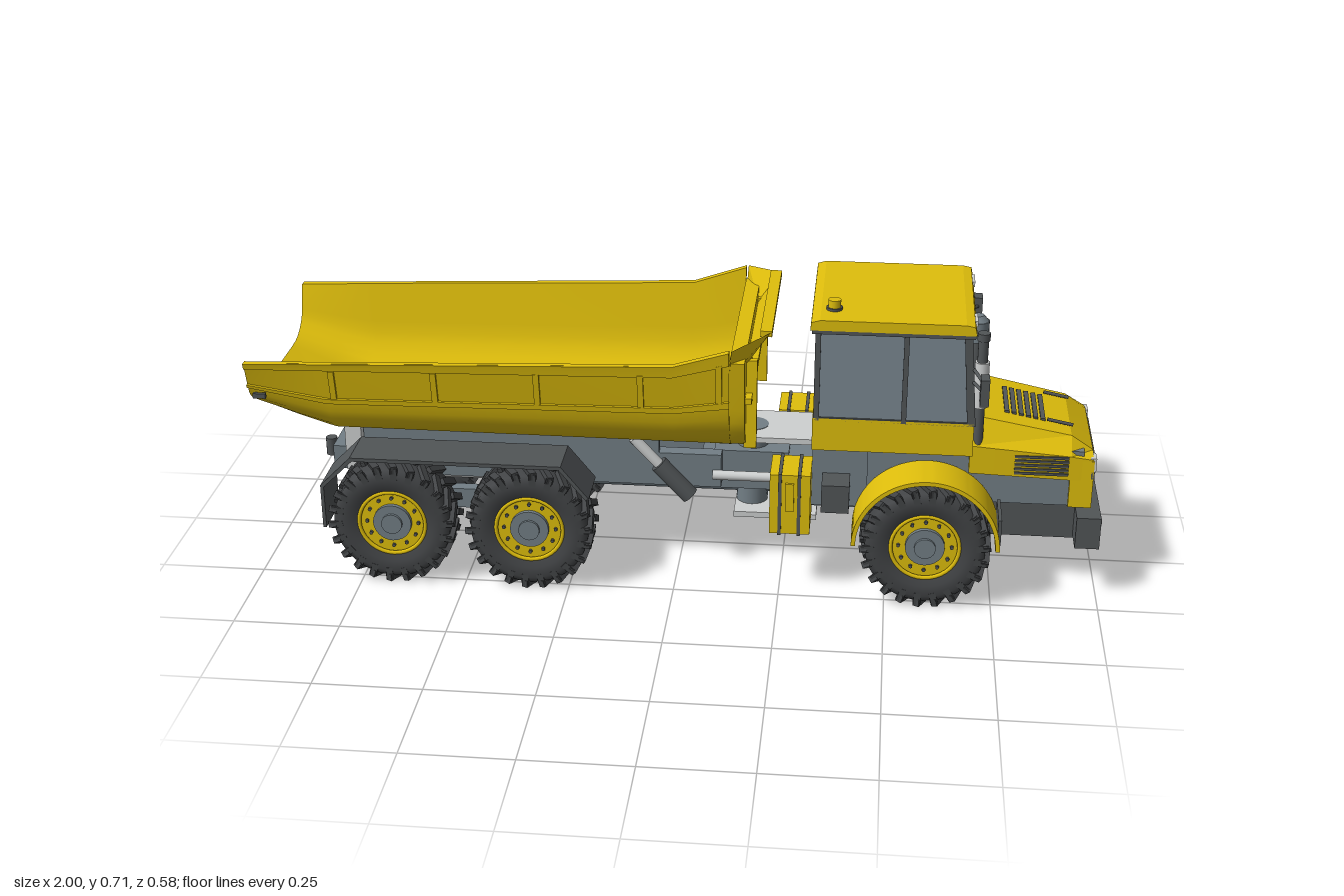
import * as THREE from 'three';
import { mergeGeometries, toCreasedNormals } from 'three/addons/utils/BufferGeometryUtils.js';

const paint = (name, color, side = THREE.FrontSide) => {
  const m = new THREE.MeshStandardMaterial({ color, side });
  m.name = name;
  return m;
};

export function createModel() {
  const truck = new THREE.Group();
  truck.name = 'articulatedDumpTruck';
  const yellow = paint('yellow', 0xdfbe0c, THREE.DoubleSide);
  const dark = paint('darkGrey', 0x515557);
  const rubber = paint('rubber', 0x424446);
  const steel = paint('steel', 0x737f86);
  const glass = paint('glass', 0x7b8891);
  const light = paint('lightGrey', 0xcfd1d1);
  const sides = [1, -1];

  const add = (name, geo, mat, parent = truck) => {
    const m = new THREE.Mesh(geo, mat);
    m.name = name;
    parent.add(m);
    return m;
  };
  const box = (name, mat, x0, x1, y0, y1, z0, z1) => {
    const m = add(name, new THREE.BoxGeometry(x1 - x0, y1 - y0, Math.abs(z1 - z0)), mat);
    m.position.set((x0 + x1) / 2, (y0 + y1) / 2, (z0 + z1) / 2);
    return m;
  };
  // Round bar between two points
  const rod = (name, mat, a, b, r, r2 = r, seg = 14) => {
    const A = new THREE.Vector3(...a), B = new THREE.Vector3(...b);
    const m = add(name, new THREE.CylinderGeometry(r2, r, A.distanceTo(B), seg), mat);
    m.position.copy(A).add(B).multiplyScalar(0.5);
    m.quaternion.setFromUnitVectors(new THREE.Vector3(0, 1, 0), B.sub(A).normalize());
    return m;
  };
  // Side profile (x, y) extruded from z0 to z1
  const prism = (name, mat, pts, z0, z1) => {
    const shape = new THREE.Shape(pts.map(p => new THREE.Vector2(...p)));
    const m = add(name, new THREE.ExtrudeGeometry(shape, { depth: Math.abs(z1 - z0), bevelEnabled: false }), mat);
    m.position.z = Math.min(z0, z1);
    return m;
  };
  // Closed (z, y) rings joined along x, with capped ends
  const loft = (name, mat, stations, crease = 0.5) => {
    const n = stations[0].ring.length, pos = [], idx = [];
    const rings = stations.map(s => s.ring.map(p => new THREE.Vector2(...p)));
    if (THREE.ShapeUtils.area(rings[0]) < 0) rings.forEach(r => r.reverse());
    rings.forEach((r, k) => r.forEach(p => pos.push(stations[k].x, p.y, p.x)));
    for (let k = 0; k < rings.length - 1; k++) for (let i = 0; i < n; i++) {
      const a = k * n + i, b = k * n + (i + 1) % n;
      idx.push(a, a + n, b + n, a, b + n, b);
    }
    const end = (rings.length - 1) * n;
    THREE.ShapeUtils.triangulateShape(rings[0], []).forEach(([a, b, c]) => idx.push(a, b, c));
    THREE.ShapeUtils.triangulateShape(rings.at(-1), []).forEach(([a, b, c]) => idx.push(end + a, end + c, end + b));
    const g = new THREE.BufferGeometry();
    g.setAttribute('position', new THREE.Float32BufferAttribute(pos, 3));
    g.setIndex(idx);
    return add(name, toCreasedNormals(g, crease), mat);
  };
  const mirrorRing = half => [...half, ...half.slice().reverse().map(([z, y]) => [-z, y])];

  // Dump body: curved trough, rising at the tail
  const form = [[1, 1], [0.925, 0.5], [0.9, 0.36], [0.86, 0.25], [0.79, 0.14], [0.71, 0.06], [0.62, 0.015], [0.5, 0]];
  const half = (w, top, bot) => form.map(([f, t]) => [f * w, bot + t * (top - bot)]);
  const body = [[-1, 0.265, 0.55, 0.42], [-0.9, 0.267, 0.554, 0.382], [-0.81, 0.269, 0.558, 0.352],
    [0, 0.275, 0.588, 0.35], [0.13, 0.282, 0.63, 0.35]];
  loft('dumpBody', yellow, body.map(([x, w, top, bot]) => {
    const inner = half(w - 0.012, top, bot + 0.012);
    return { x, ring: [...mirrorRing(half(w, top, bot)), ...mirrorRing(inner).reverse()] };
  }));
  loft('bodyFrontWall', yellow, [0.13, 0.165].map(x => ({ x, ring: mirrorRing(half(0.275, 0.6, 0.35)) })));
  const at = x => {
    const i = Math.max(1, body.findIndex(b => b[0] >= x)), a = body[i - 1], b = body[i];
    return a.map((v, k) => THREE.MathUtils.lerp(v, b[k], (x - a[0]) / (b[0] - a[0])));
  };
  for (const s of sides) {
    // Rim, lower rail and ribs on the body flank
    const strip = (name, xs, t0, t1, out) => loft(name, yellow, xs.map(x => {
      const [, w, top, bot] = at(x);
      const p = t => [s * w * (0.85 + 0.15 * t), bot + t * (top - bot)];
      const [a, b] = [p(t0), p(t1)];
      return { x, ring: [a, [a[0] + s * out, a[1]], [b[0] + s * out, b[1]], b] };
    }));
    strip('bodyRim', [-1, 0, 0.13], 0.88, 1, 0.006);
    strip('bodyRail', [-1, -0.81, 0, 0.13], 0.48, 0.54, 0.008);
    for (const x of [-0.8, -0.56, -0.32, -0.08, 0.1]) strip('bodyRib', [x, x + 0.014], 0.5, 0.9, 0.007);
    box('bodyMark', dark, -0.985, -0.955, 0.46, 0.472, s * 0.252, s * 0.261);
    box('frontWallRib', yellow, 0.16, 0.19, 0.36, 0.58, s * 0.19, s * 0.205);
  }
  box('frontWallBeam', yellow, 0.16, 0.18, 0.485, 0.5, -0.24, 0.24);

  // Spill guard leaning forward over the front wall
  const lower = [[0.13, 0.56, 0.268], [0.165, 0.57, 0.2], [0.165, 0.57, -0.2], [0.13, 0.56, -0.268]];
  const upper = [[0.135, 0.632, 0.282], [0.218, 0.648, 0.2], [0.218, 0.648, -0.2], [0.135, 0.632, -0.282]];
  const guard = new THREE.BufferGeometry();
  guard.setAttribute('position', new THREE.Float32BufferAttribute([...lower, ...upper].flat(), 3));
  guard.setIndex([0, 1, 2].flatMap(i => [i, i + 1, i + 5, i, i + 5, i + 4]));
  add('spillGuard', toCreasedNormals(guard, 0.2), yellow);
  box('spillGuardLip', yellow, 0.195, 0.222, 0.638, 0.652, -0.2, 0.2);

  // Wheels: shared tyre, lugs, rim and bolts
  const axisZ = g => g.rotateX(Math.PI / 2);
  const profile = [[0.08, -0.045], [0.1, -0.054], [0.125, -0.056], [0.14, -0.048], [0.143, 0],
    [0.14, 0.048], [0.125, 0.056], [0.1, 0.054], [0.08, 0.045]].map(p => new THREE.Vector2(...p));
  const tyre = axisZ(new THREE.LatheGeometry(profile, 40));
  const lugs = [], bolts = [];
  for (let i = 0; i < 22; i++) for (const s of sides) {
    const turn = (i + (s > 0 ? 0 : 0.5)) * Math.PI / 11;
    lugs.push(new THREE.BoxGeometry(0.016, 0.018, 0.062).rotateX(0).rotateY(0)
      .applyMatrix4(new THREE.Matrix4().makeRotationY(s * 0.5)).rotateZ(Math.PI / 2).rotateZ(-Math.PI / 2)
      .translate(0, 0.143, s * 0.028).rotateZ(turn));
    lugs.push(new THREE.BoxGeometry(0.016, 0.03, 0.006).translate(0.012, 0.132, s * 0.053).rotateZ(turn));
  }
  for (let i = 0; i < 12; i++) bolts.push(axisZ(new THREE.CylinderGeometry(0.0045, 0.0045, 0.088, 6))
    .translate(0.062, 0, 0).rotateZ(i * Math.PI / 6));
  const lugGeo = mergeGeometries(lugs), boltGeo = mergeGeometries(bolts);
  const disc = axisZ(new THREE.CylinderGeometry(0.083, 0.083, 0.075, 32));
  const lip = new THREE.TorusGeometry(0.08, 0.005, 8, 36);
  const hub = axisZ(new THREE.CylinderGeometry(0.046, 0.046, 0.096, 24));
  const cap = axisZ(new THREE.CylinderGeometry(0.025, 0.025, 0.11, 20));
  for (const x of [-0.67, -0.34, 0.59]) {
    for (const s of sides) {
      const wheel = new THREE.Group();
      wheel.name = 'wheel';
      wheel.position.set(x, 0.153, s * 0.222);
      truck.add(wheel);
      add('tyre', tyre, rubber, wheel);
      add('tread', lugGeo, rubber, wheel);
      add('rim', disc, yellow, wheel);
      for (const k of sides) add('rimLip', lip, yellow, wheel).position.z = k * 0.045;
      add('bolts', boltGeo, dark, wheel);
      add('hub', hub, steel, wheel);
      add('hubCap', cap, steel, wheel);
      rod('axleEnd', steel, [x, 0.153, s * 0.09], [x, 0.153, s * 0.18], 0.03, 0.045);
    }
    rod('axle', steel, [x, 0.153, -0.17], [x, 0.153, 0.17], 0.028);
    add('differential', new THREE.SphereGeometry(0.056, 20, 14), steel).position.set(x, 0.153, 0);
  }
  rod('rearDriveShaft', light, [-0.62, 0.165, 0], [-0.39, 0.165, 0], 0.015);
  rod('middleDriveShaft', steel, [-0.29, 0.165, 0], [0.54, 0.165, 0], 0.016);

  // Rear frame, tail and articulation joint
  for (const s of sides) {
    box('rearFrameRail', steel, -0.8, 0.1, 0.2, 0.285, s * 0.06, s * 0.095);
    box('bodySupport', steel, -0.8, -0.05, 0.285, 0.352, s * 0.075, s * 0.095);
    box('tiltHinge', light, -0.81, -0.77, 0.22, 0.35, s * 0.1, s * 0.125);
    box('bogieBeam', steel, -0.62, -0.39, 0.14, 0.19, s * 0.115, s * 0.145);
    rod('tiltCylinder', dark, [0.03, 0.2, s * 0.145], [-0.045, 0.28, s * 0.145], 0.022);
    rod('tiltRod', light, [-0.045, 0.28, s * 0.145], [-0.105, 0.345, s * 0.145], 0.013);
    rod('steeringCylinder', light, [0.08, 0.235, s * 0.1], [0.24, 0.235, s * 0.1], 0.012);
    // Rear mudguard with hanging flap
    prism('rearMudguard', dark, [[-0.835, 0.14], [-0.835, 0.25], [-0.76, 0.325], [-0.26, 0.325], [-0.195, 0.245],
      [-0.203, 0.241], [-0.265, 0.316], [-0.755, 0.316], [-0.827, 0.246], [-0.827, 0.14]], s * 0.16, s * 0.28);
    // Side tank with straps
    box('sideTank', yellow, 0.225, 0.32, 0.158, 0.31, s * 0.13, s * 0.24);
    for (const x of [0.245, 0.29]) box('tankStrap', dark, x, x + 0.008, 0.155, 0.313, s * 0.128, s * 0.243);
    box('tankPanel', yellow, 0.262, 0.282, 0.22, 0.29, s * 0.235, s * 0.247);
  }
  for (const x of [-0.8, -0.5, -0.15, 0.05]) box('frameCrossMember', steel, x, x + 0.05, 0.2, 0.27, -0.09, 0.09);
  box('towBlock', steel, -0.86, -0.8, 0.19, 0.25, -0.06, 0.06);
  rod('towHook', dark, [-0.88, 0.2, 0], [-0.88, 0.245, 0], 0.014);
  box('jointYoke', steel, 0.08, 0.26, 0.18, 0.28, -0.055, 0.055);
  rod('jointPin', steel, [0.17, 0.13, 0], [0.17, 0.33, 0], 0.038, 0.038, 20);
  for (const y of [0.115, 0.315]) box('jointPlate', light, 0.13, 0.33, y, y + 0.014, -0.08, 0.08);

  // Front chassis
  box('frontChassis', steel, 0.32, 0.45, 0.2, 0.36, -0.165, 0.165);
  box('frontFrame', steel, 0.26, 0.95, 0.16, 0.27, -0.09, 0.09);
  box('engineBay', steel, 0.44, 0.95, 0.22, 0.36, -0.15, 0.15);
  box('bellyPlate', dark, 0.74, 0.95, 0.125, 0.22, -0.13, 0.13);
  box('batteryBox', dark, 0.345, 0.41, 0.215, 0.285, 0.16, 0.235);

  // Front fenders: half rings over the wheels
  for (const s of sides) {
    const sweep = s > 0 ? Math.PI : Math.PI * 0.66, arc = new THREE.Shape();
    arc.absarc(0, 0, 0.172, 0, sweep, false);
    arc.absarc(0, 0, 0.162, sweep, 0, true);
    const g = new THREE.ExtrudeGeometry(arc, { depth: 0.118, bevelEnabled: false, curveSegments: 28 });
    add('frontFender', toCreasedNormals(g, 0.5), yellow).position.set(0.59, 0.155, s > 0 ? 0.162 : -0.28);
    box('fenderFlap', dark, 0.755, 0.763, 0.17, 0.235, s * 0.165, s * 0.275);
  }

  // Cab with pillars, roof and beacon
  box('cabBase', yellow, 0.318, 0.69, 0.355, 0.436, -0.19, 0.19);
  prism('cabGlass', glass, [[0.325, 0.43], [0.688, 0.43], [0.67, 0.655], [0.325, 0.655]], -0.185, 0.185);
  box('roofBand', dark, 0.312, 0.682, 0.648, 0.658, -0.195, 0.195);
  prism('roof', yellow, [[0.308, 0.657], [0.685, 0.657], [0.68, 0.678], [0.66, 0.682], [0.33, 0.682], [0.31, 0.676]], -0.197, 0.197);
  for (const s of sides) {
    prism('frontPillar', dark, [[0.674, 0.43], [0.693, 0.43], [0.676, 0.655], [0.657, 0.655]], s * 0.172, s * 0.19);
    box('middlePillar', dark, 0.522, 0.534, 0.43, 0.655, s * 0.18, s * 0.19);
    box('rearPillar', dark, 0.32, 0.333, 0.43, 0.655, s * 0.172, s * 0.19);
    box('windowSill', dark, 0.32, 0.685, 0.43, 0.438, s * 0.18, s * 0.19);
    box('roofLamp', light, 0.679, 0.687, 0.663, 0.676, s * 0.103, s * 0.152);
    // Mirror on its arm
    box('mirror', dark, 0.695, 0.715, 0.518, 0.583, s * 0.238, s * 0.275);
    rod('mirrorArm', dark, [0.682, 0.572, s * 0.185], [0.705, 0.56, s * 0.245], 0.004);
    rod('mirrorBrace', dark, [0.682, 0.54, s * 0.185], [0.705, 0.54, s * 0.245], 0.004);
  }
  rod('wiper', dark, [0.692, 0.45, -0.07], [0.682, 0.58, -0.03], 0.0025);
  rod('beaconBase', dark, [0.36, 0.68, 0.122], [0.36, 0.688, 0.122], 0.019);
  rod('beacon', yellow, [0.36, 0.687, 0.122], [0.36, 0.706, 0.122], 0.015);

  // Hood and grille
  loft('hood', yellow, [[0.685, 0.165, 0.3, 0.37, 0.13, 0.434], [0.92, 0.16, 0.29, 0.35, 0.122, 0.388],
    [0.972, 0.158, 0.29, 0.343, 0.118, 0.352]].map(([x, w, y0, y1, wt, y2]) => ({ x, ring: mirrorRing([[w, y0], [w, y1], [wt, y2]]) })), 0.2);
  box('noseFrame', yellow, 0.92, 0.974, 0.22, 0.34, -0.159, 0.159);
  box('grille', dark, 0.97, 0.977, 0.243, 0.34, -0.117, 0.117);
  for (let i = 0; i < 6; i++) box('grilleSlat', yellow, 0.973, 0.98, 0.252 + i * 0.0145, 0.258 + i * 0.0145, -0.113, 0.113);
  for (const s of sides) {
    box('headlamp', light, 0.965, 0.979, 0.312, 0.346, s * 0.122, s * 0.157);
    box('lampTrim', dark, 0.968, 0.976, 0.294, 0.312, s * 0.12, s * 0.159);
    for (let i = 0; i < 5; i++) box('sideLouvre', dark, 0.79, 0.915, 0.302 + i * 0.0105, 0.308 + i * 0.0105, s * 0.157, s * 0.1655);
    rod('hoodHandle', dark, [0.865, 0.408, s * 0.08], [0.925, 0.396, s * 0.08], 0.004);
    box('bumperLamp', light, 0.996, 1.0, 0.184, 0.2, s * 0.15, s * 0.18);
  }
  for (let i = 0; i < 6; i++) {
    const x = 0.765 + i * 0.017, y = 0.434 - (x - 0.685) * 0.196;
    box('hoodVent', dark, x, x + 0.011, y - 0.004, y + 0.004, -0.072, 0.072);
  }
  box('bumper', dark, 0.94, 0.997, 0.132, 0.211, -0.197, 0.197);
  box('towRecess', rubber, 0.99, 0.999, 0.162, 0.187, -0.021, 0.021);
  rod('towPin', light, [0.993, 0.165, 0], [0.993, 0.186, 0], 0.007);

  // Exhaust and air intake
  rod('exhaustPipe', dark, [0.702, 0.37, 0.15], [0.702, 0.648, 0.15], 0.012);
  rod('exhaustTip', dark, [0.702, 0.63, 0.15], [0.702, 0.648, 0.15], 0.015);
  rod('muffler', light, [0.702, 0.465, 0.15], [0.702, 0.577, 0.15], 0.017);
  rod('intakePipe', dark, [0.702, 0.37, -0.15], [0.702, 0.512, -0.15], 0.013);
  rod('airCleaner', steel, [0.702, 0.51, -0.15], [0.702, 0.56, -0.15], 0.028, 0.028, 20);
  rod('airCleanerCap', steel, [0.702, 0.56, -0.15], [0.702, 0.574, -0.15], 0.026, 0.014, 20);

  // Boarding platform, ladder and handrail
  box('platform', light, 0.325, 0.53, 0.332, 0.354, -0.279, -0.188);
  for (const x of [0.345, 0.41]) box('ladderRail', dark, x, x + 0.007, 0.085, 0.335, -0.275, -0.245);
  for (let i = 0; i < 5; i++) box('ladderStep', dark, 0.345, 0.417, 0.09 + i * 0.052, 0.098 + i * 0.052, -0.275, -0.235);
  for (const x of [0.42, 0.53]) rod('railPost', dark, [x, 0.335, -0.276], [x, 0.542, -0.276], 0.004);
  for (const y of [0.445, 0.542]) {
    rod('handrail', dark, [0.42, y, -0.276], [0.53, y, -0.276], 0.004);
    rod('handrailStay', dark, [0.53, y, -0.276], [0.53, y, -0.188], 0.004);
  }
  rod('grabBar', dark, [0.345, 0.38, -0.2], [0.345, 0.55, -0.2], 0.005);
  return truck;
}
